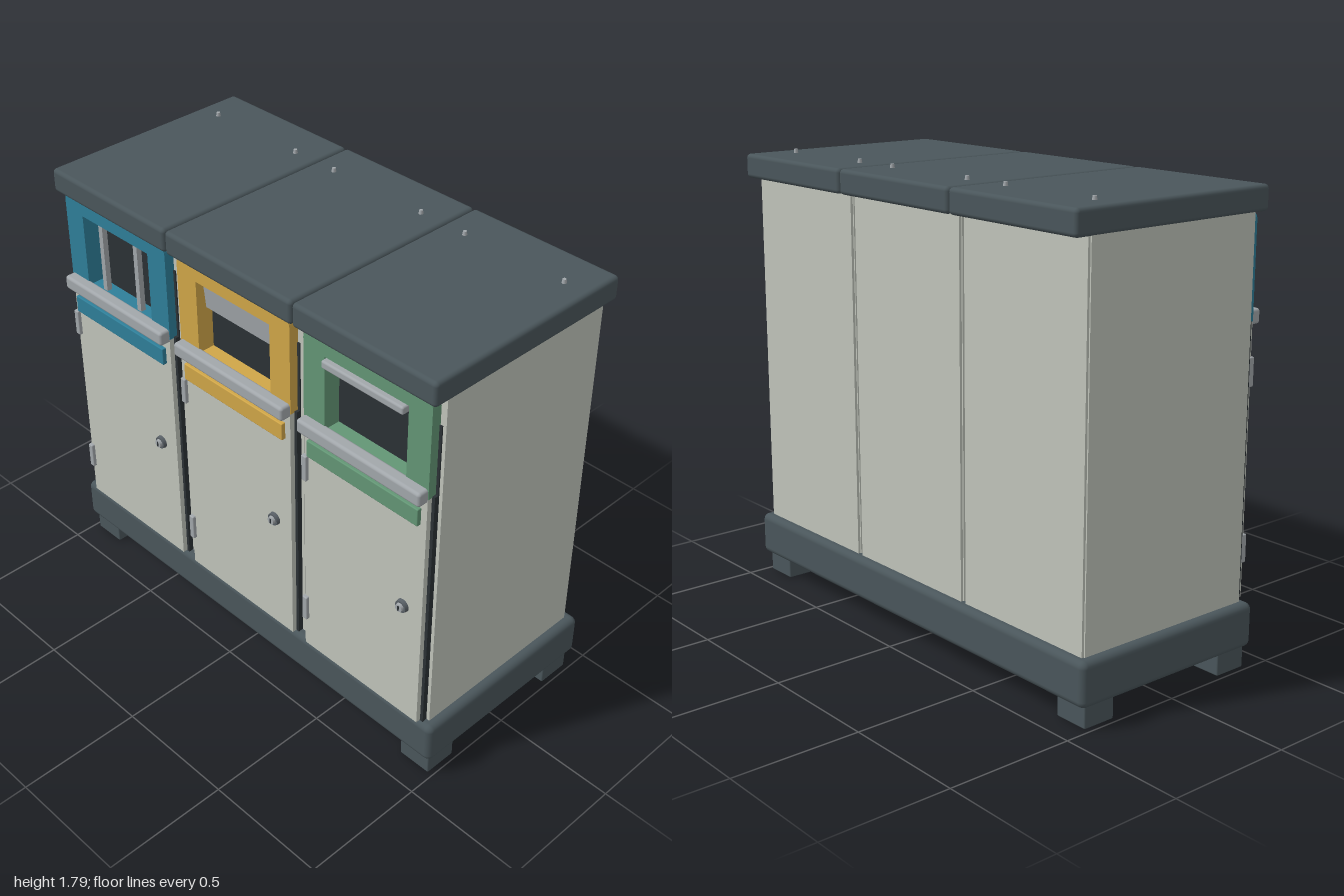
import * as THREE from 'three';
import { RoundedBoxGeometry } from 'three/addons/geometries/RoundedBoxGeometry.js';

const mat = (color) => new THREE.MeshStandardMaterial({ color });
const slate = mat(0x4a565b);
const panel = mat(0xc0c4bb);
const black = mat(0x2b3135);
const steel = mat(0xa2a7ab);
const darkSteel = mat(0x596066);

function add(parent, name, geometry, material, x = 0, y = 0, z = 0) {
  const mesh = new THREE.Mesh(geometry, material);
  mesh.name = name;
  mesh.position.set(x, y, z);
  parent.add(mesh);
  return mesh;
}

// Box given by its limits on each axis; r > 0 rounds the edges
function block(parent, name, material, [x0, x1], [y0, y1], [z0, z1], r = 0) {
  const size = [x1 - x0, y1 - y0, z1 - z0];
  const geometry = r ? new RoundedBoxGeometry(...size, 3, r) : new THREE.BoxGeometry(...size);
  return add(parent, name, geometry, material, (x0 + x1) / 2, (y0 + y1) / 2, (z0 + z1) / 2);
}

function rectHole(x0, x1, y0, y1) {
  const hole = new THREE.Path();
  hole.moveTo(x0, y0);
  hole.lineTo(x0, y1);
  hole.lineTo(x1, y1);
  hole.lineTo(x1, y0);
  hole.closePath();
  return hole;
}

// Coloured surround of the opening, rounded at its top corners
function frameGeometry() {
  const w = 0.29, y0 = 1.295, y1 = 1.683, r = 0.03;
  const shape = new THREE.Shape();
  shape.moveTo(-w, y0);
  shape.lineTo(w, y0);
  shape.lineTo(w, y1 - r);
  shape.quadraticCurveTo(w, y1, w - r, y1);
  shape.lineTo(-w + r, y1);
  shape.quadraticCurveTo(-w, y1, -w, y1 - r);
  shape.closePath();
  shape.holes.push(rectHole(-0.19, 0.19, 1.32, 1.62));
  return new THREE.ExtrudeGeometry(shape, { depth: 0.07, bevelEnabled: false, curveSegments: 5 });
}

// Front part of the cabinet, cut out behind the opening
function frontShellGeometry() {
  const shape = new THREE.Shape();
  shape.moveTo(-0.315, 0.25);
  shape.lineTo(0.315, 0.25);
  shape.lineTo(0.315, 1.69);
  shape.lineTo(-0.315, 1.69);
  shape.closePath();
  shape.holes.push(rectHole(-0.2, 0.2, 1.31, 1.63));
  return new THREE.ExtrudeGeometry(shape, { depth: 0.06, bevelEnabled: false });
}

function lock(parent) {
  const group = new THREE.Group();
  group.name = 'lock';
  group.position.set(0.2, 0.775, 0.418);
  parent.add(group);
  const disc = (name, r, depth, z, material) => {
    add(group, name, new THREE.CylinderGeometry(r * 0.9, r, depth, 20), material, 0, 0, z).rotation.x = Math.PI / 2;
  };
  disc('lockRing', 0.027, 0.016, 0.008, darkSteel);
  disc('lockCore', 0.017, 0.012, 0.02, steel);
  block(group, 'keySlot', black, [-0.003, 0.003], [-0.01, 0.01], [0.02, 0.028]);
}

// Fittings inside each kind of opening
const fittings = {
  bars(unit) {
    for (const x of [-0.103, 0.1]) block(unit, 'verticalBar', steel, [x - 0.011, x + 0.011], [1.33, 1.62], [0.385, 0.407]);
    block(unit, 'topRail', steel, [-0.19, 0.19], [1.605, 1.62], [0.37, 0.4]);
  },
  flap(unit) {
    block(unit, 'flap', steel, [-0.18, 0.18], [1.505, 1.612], [0.375, 0.39]).rotation.x = 0.1;
    block(unit, 'topRail', steel, [-0.19, 0.19], [1.605, 1.62], [0.37, 0.4]);
  },
  rail(unit) {
    block(unit, 'frontRail', steel, [-0.185, 0.185], [1.588, 1.62], [0.405, 0.443], 0.008);
  },
};

// One bin cabinet with door, opening, lid and hardware
function binUnit(color, fitting) {
  const unit = new THREE.Group();
  unit.name = 'binUnit';
  const accent = mat(color);

  // Cabinet
  block(unit, 'cabinet', panel, [-0.315, 0.315], [0.25, 1.69], [-0.39, 0.32]);
  add(unit, 'cabinetFront', frontShellGeometry(), panel, 0, 0, 0.32);
  block(unit, 'backPanel', panel, [-0.31, 0.31], [0.25, 1.69], [-0.4, -0.39]);
  block(unit, 'openingBack', black, [-0.2, 0.2], [1.31, 1.63], [0.32, 0.35]);

  // Dark seal behind the door and up the sides of the frame
  block(unit, 'doorSeal', black, [-0.301, 0.301], [0.252, 1.3], [0.378, 0.4]);
  for (const s of [-1, 1]) {
    const xs = s < 0 ? [-0.301, -0.285] : [0.285, 0.301];
    block(unit, 'frameSeal', black, xs, [1.3, 1.58], [0.378, 0.385]);
  }

  // Door and opening
  block(unit, 'door', panel, [-0.288, 0.288], [0.256, 1.298], [0.4, 0.42]);
  add(unit, 'openingFrame', frameGeometry(), accent, 0, 0, 0.35);
  fittings[fitting](unit);
  block(unit, 'ledge', steel, [-0.288, 0.288], [1.28, 1.337], [0.41, 0.462], 0.012);
  block(unit, 'colourStrip', accent, [-0.262, 0.262], [1.175, 1.246], [0.415, 0.437], 0.004);
  for (const y of [0.445, 1.11]) block(unit, 'hinge', steel, [-0.293, -0.268], [y - 0.055, y + 0.055], [0.4, 0.434], 0.005);
  lock(unit);

  // Lid with two small studs
  block(unit, 'lid', slate, [-0.322, 0.322], [1.685, 1.78], [-0.462, 0.445], 0.016);
  for (const x of [-0.22, 0.22]) {
    add(unit, 'lidStud', new THREE.CylinderGeometry(0.007, 0.01, 0.02, 10), steel, x, 1.785, -0.29);
  }
  return unit;
}

export function createModel() {
  const model = new THREE.Group();
  model.name = 'recyclingStation';

  // Plinth and feet
  block(model, 'plinth', slate, [-1, 1], [0.083, 0.255], [-0.432, 0.416], 0.026);
  for (const x of [-0.91, 0.91]) {
    for (const z of [-0.335, 0.325]) {
      block(model, 'foot', slate, [x - 0.07, x + 0.07], [0, 0.09], [z - 0.068, z + 0.068], 0.006);
    }
  }

  // Three units side by side
  [[0x2f7f99, 'bars'], [0xd0a648, 'flap'], [0x639675, 'rail']].forEach(([color, fitting], i) => {
    const unit = binUnit(color, fitting);
    unit.position.x = (i - 1) * 0.647;
    model.add(unit);
  });

  return model;
}
